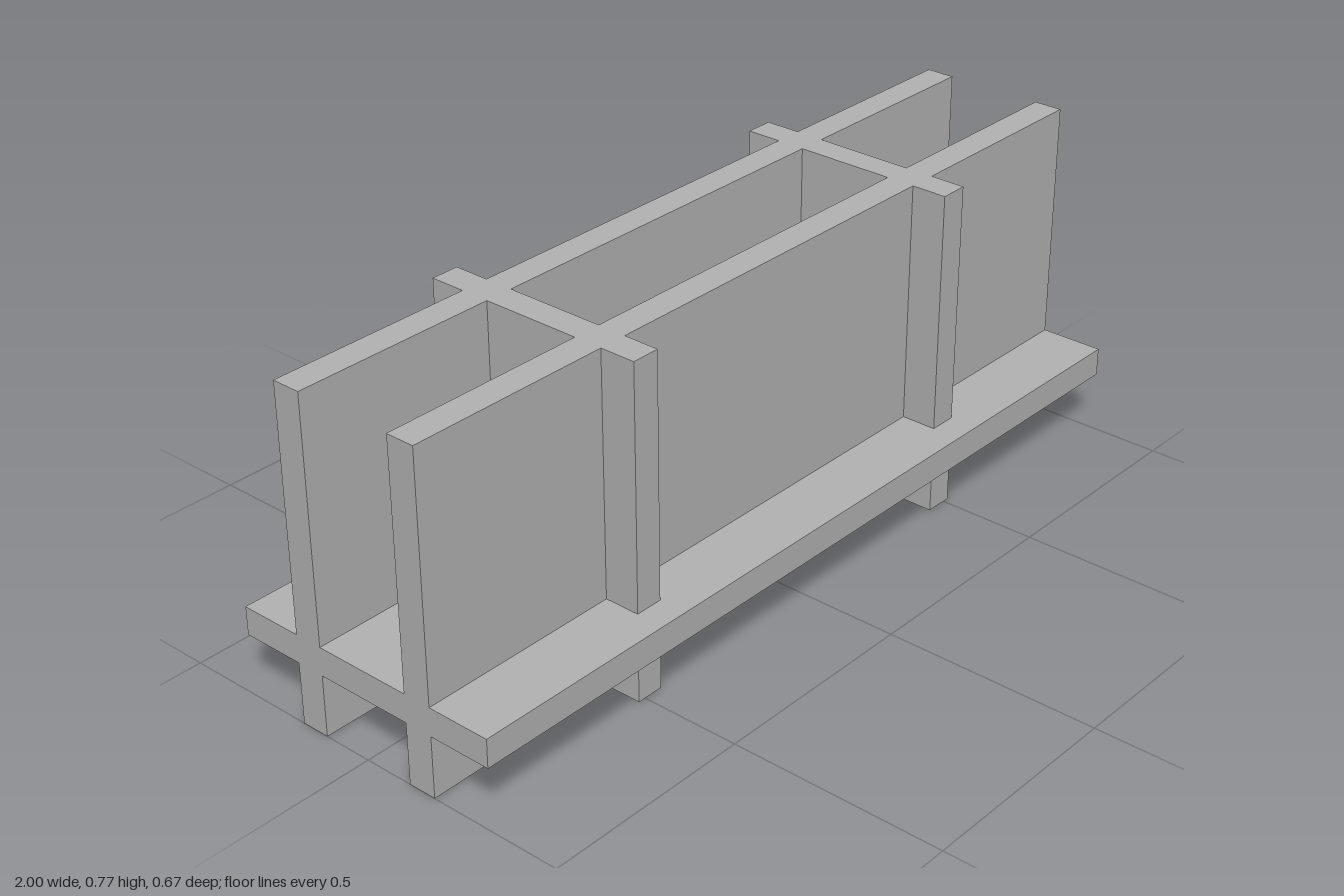
import * as THREE from 'three';

const HEIGHT = 0.767;

export function createModel() {
  const model = new THREE.Group();
  model.name = 'interlockingPanels';
  const grey = new THREE.MeshStandardMaterial({ color: 0xb3b3b3 });
  grey.name = 'plain grey';

  // Box given by its size, its base height and its place on the floor
  function addPanel(name, [w, h, d], x, base, z) {
    const mesh = new THREE.Mesh(new THREE.BoxGeometry(w, h, d), grey);
    mesh.name = name;
    mesh.position.set(x, base + h / 2, z);
    model.add(mesh);
  }

  // Two long upright walls
  addPanel('frontWall', [2, HEIGHT, 0.067], 0, 0, 0.15);
  addPanel('backWall', [2, HEIGHT, 0.067], 0, 0, -0.15);

  // Two upright dividers crossing the walls
  addPanel('leftDivider', [0.066, HEIGHT, 0.533], 0.482, 0, 0);
  addPanel('rightDivider', [0.066, HEIGHT, 0.533], -0.485, 0, 0);

  // Flat shelf passing through all the uprights
  addPanel('shelf', [2, 0.066, 0.666], 0, 0.143, 0);

  return model;
}
